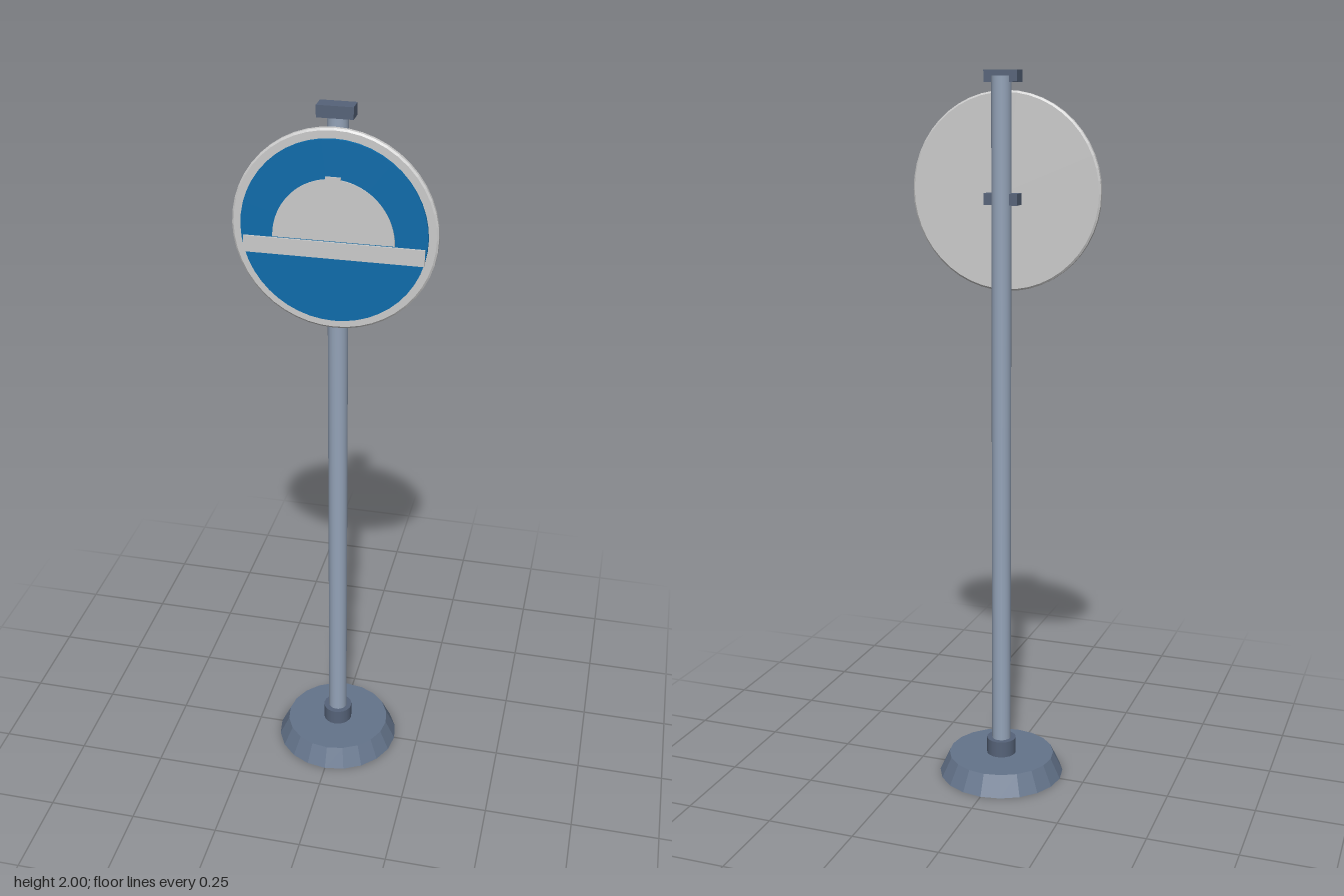
import * as THREE from 'three';

const STEEL = 0x94a3b8, BASE = 0x64748b, FITTING = 0x566379, BLUE = 0x0d6cab, PALE = 0xcccccc;
const SIGN_Y = 1.682;

export function createModel() {
  const model = new THREE.Group();

  const add = (name, geometry, color, x, y, z, flat = false) => {
    const mesh = new THREE.Mesh(geometry, new THREE.MeshStandardMaterial({ color, flatShading: flat }));
    mesh.name = name;
    mesh.position.set(x, y, z);
    model.add(mesh);
    return mesh;
  };

  // Foot, collar and pole
  add('base', new THREE.CylinderGeometry(0.152, 0.18, 0.058, 20), BASE, 0, 0.029, 0, true);
  add('collar', new THREE.CylinderGeometry(0.042, 0.042, 0.05, 20), FITTING, 0, 0.08, 0);
  add('pole', new THREE.CylinderGeometry(0.027, 0.027, 1.93, 20), STEEL, 0, 1.02, 0);

  // Brackets holding the plate to the pole
  for (const [name, y] of [['topBracket', 1.985], ['middleBracket', 1.665]]) {
    add(name, new THREE.BoxGeometry(0.094, 0.031, 0.045), FITTING, 0, y, 0.0125);
  }

  // Round plate with chamfered edge, turned around the z axis
  const profile = [[0, 0.028], [0.262, 0.028], [0.267, 0.032], [0.267, 0.042], [0.262, 0.046], [0, 0.046]]
    .map(([r, z]) => new THREE.Vector2(r, z));
  add('signPlate', new THREE.LatheGeometry(profile, 48), PALE, 0, SIGN_Y, 0, true).rotation.x = Math.PI / 2;

  // Blue face
  add('signFace', new THREE.CylinderGeometry(0.242, 0.242, 0.008, 48), BLUE, 0, SIGN_Y, 0.049)
    .rotation.x = Math.PI / 2;

  // Symbol: horizontal bar with a dome above it
  add('symbolBar', new THREE.BoxGeometry(0.47, 0.044, 0.005), PALE, 0, 1.636, 0.0555);

  const dome = new THREE.Shape();
  dome.moveTo(-0.158, 0);
  dome.lineTo(0.158, 0);
  dome.absellipse(0, 0, 0.158, 0.162, 0, Math.PI * 0.46, false);
  dome.lineTo(0.02, 0.168);
  dome.lineTo(-0.02, 0.168);
  dome.absellipse(0, 0, 0.158, 0.162, Math.PI * 0.54, Math.PI, false);
  add('symbolDome', new THREE.ExtrudeGeometry(dome, { depth: 0.004, bevelEnabled: false, curveSegments: 16 }),
    PALE, 0, 1.661, 0.0525);

  return model;
}
